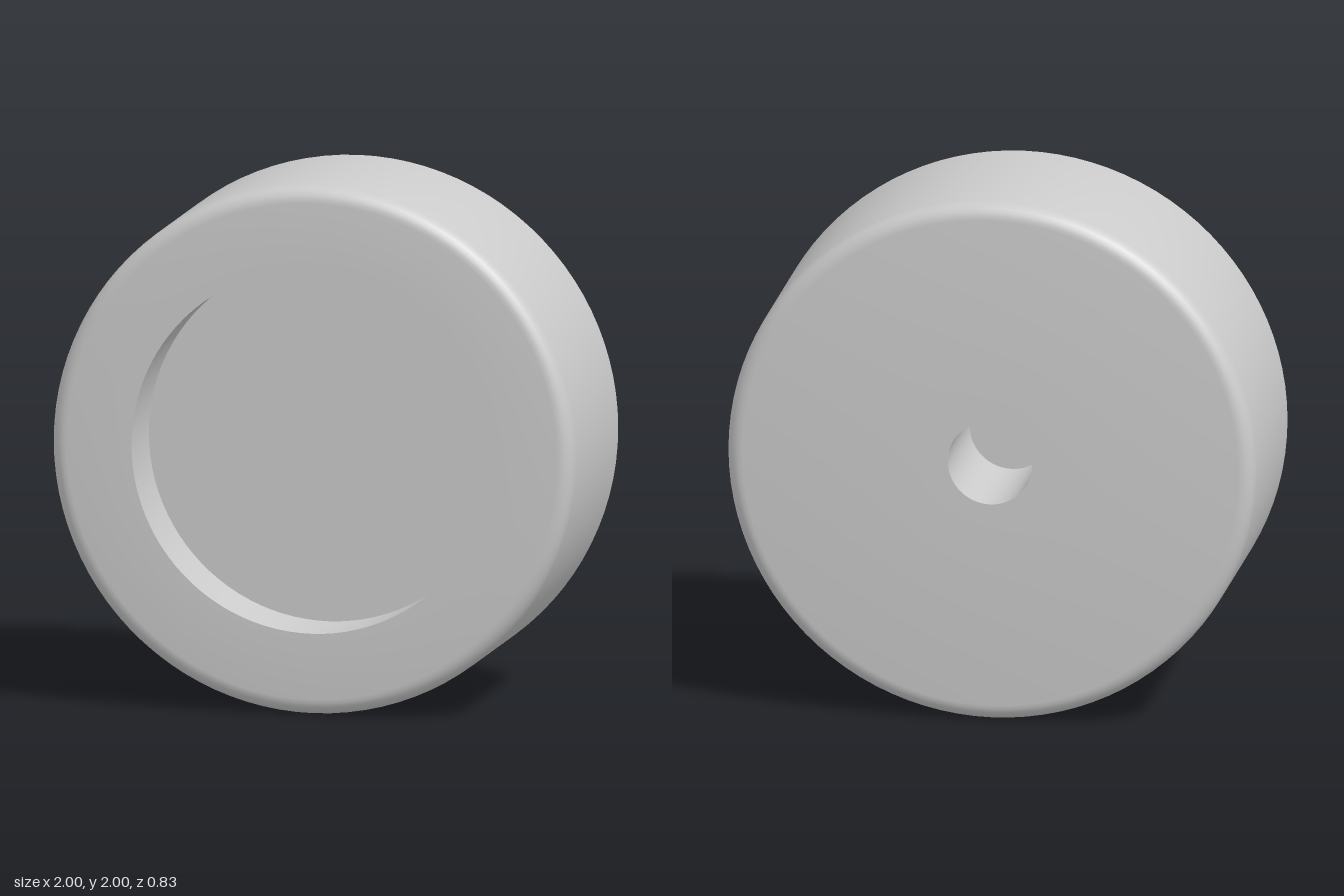
import * as THREE from 'three';
import { toCreasedNormals } from 'three/addons/utils/BufferGeometryUtils.js';

const RADIUS = 1, HALF_DEPTH = 0.413, ROUND = 0.06;
const RECESS_RADIUS = 0.69, RECESS_FLOOR = 0.12;
const HOLE_RADIUS = 0.16, HOLE_FLOOR = 0.09;

// Quarter-round edge, as profile points from startAngle to startAngle + 90 degrees
function roundedEdge(cy, startAngle, steps = 6) {
  const points = [];
  for (let i = 0; i <= steps; i++) {
    const a = startAngle + (i / steps) * Math.PI / 2;
    points.push(new THREE.Vector2(RADIUS - ROUND + ROUND * Math.cos(a), cy + ROUND * Math.sin(a)));
  }
  return points;
}

export function createModel() {
  const group = new THREE.Group();
  const edge = HALF_DEPTH - ROUND;

  // Closed profile: blind back hole, back face, rounded rim, front face, recess
  const profile = [
    new THREE.Vector2(0, HOLE_FLOOR),
    new THREE.Vector2(HOLE_RADIUS, HOLE_FLOOR),
    new THREE.Vector2(HOLE_RADIUS, -HALF_DEPTH),
    ...roundedEdge(-edge, -Math.PI / 2),
    ...roundedEdge(edge, 0),
    new THREE.Vector2(RECESS_RADIUS, HALF_DEPTH),
    new THREE.Vector2(RECESS_RADIUS, RECESS_FLOOR),
    new THREE.Vector2(0, RECESS_FLOOR),
  ];

  const geometry = toCreasedNormals(new THREE.LatheGeometry(profile, 96), 0.6);
  geometry.rotateX(Math.PI / 2); // axis along z, recess towards the front
  geometry.translate(0, RADIUS, 0);

  const body = new THREE.Mesh(geometry, new THREE.MeshStandardMaterial({ color: 0xcccccc }));
  body.name = 'recessedRoundBody';
  group.add(body);
  return group;
}
